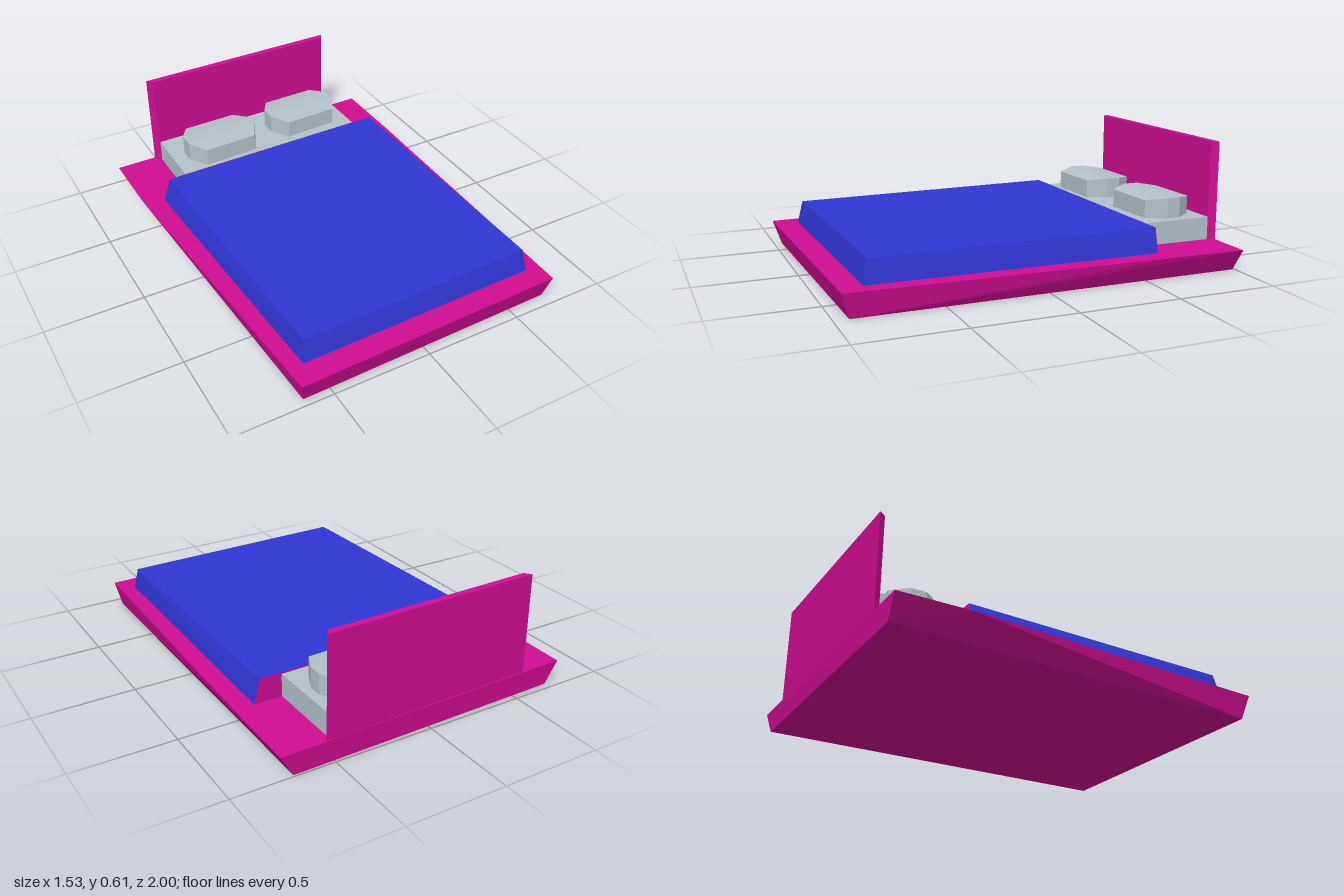
import * as THREE from 'three';
import { ConvexGeometry } from 'three/addons/geometries/ConvexGeometry.js';

const material = (color) => new THREE.MeshStandardMaterial({ color, flatShading: true, side: THREE.DoubleSide });
const pink = material(0xd00d92);
const blue = material(0x3036d4);
const pale = material(0xb4c3c9);

// Lists of [x, z] corners lifted to a height
const ring = (y, corners) => corners.map(([x, z]) => new THREE.Vector3(x, y, z));

// Faceted solid spanning its corner points
function solid(name, mat, ...rings) {
  const mesh = new THREE.Mesh(new ConvexGeometry(rings.flat()), mat);
  mesh.name = name;
  return mesh;
}

// Octagonal cushion whose top rises slightly along its middle
function pillow(name, x, y, z) {
  const outline = [
    [-0.15, -0.125], [0.14, -0.135], [0.205, -0.05], [0.205, 0.02],
    [0.155, 0.12], [-0.135, 0.135], [-0.2, 0.04], [-0.2, -0.04],
  ];
  const top = outline.map(([px, pz]) => new THREE.Vector3(px, Math.abs(pz) < 0.06 ? 0.103 : 0.092, pz));
  const mesh = solid(name, pale, ring(0, outline), top);
  mesh.position.set(x, y, z);
  return mesh;
}

export function createModel() {
  const bed = new THREE.Group();
  bed.name = 'bed';

  // Skewed platform, flaring out towards the top
  bed.add(solid('base', pink,
    ring(0, [[-0.705, -0.965], [0.7, -0.99], [0.705, 0.93], [-0.635, 0.96]]),
    ring(0.112, [[-0.77, -0.97], [0.765, -1]]),
    ring(0.115, [[-0.768, -0.6], [0.763, -0.6]]),
    ring(0.122, [[0.73, 0.965], [-0.66, 1]])));

  // Headboard, narrower at its front face
  const board = [[-0.555, -0.967], [0.542, -0.992], [0.52, -0.958], [-0.53, -0.935]];
  bed.add(solid('headboard', pink, ring(0.1, board), ring(0.61, board)));

  const mattress = [[-0.525, -0.935], [0.52, -0.958], [0.525, -0.5], [-0.525, -0.5]];
  bed.add(solid('mattress', pale, ring(0.1, mattress), ring(0.228, mattress)));

  // Blanket with sloping sides
  bed.add(solid('blanket', blue,
    ring(0.113, [[-0.66, -0.555], [0.665, -0.583], [0.655, 0.855], [-0.59, 0.88]]),
    ring(0.236, [[-0.62, -0.556], [0.635, -0.582], [0.638, 0.828], [-0.573, 0.853]])));

  // Thin facing on the head end of the blanket
  bed.add(solid('blanketEnd', pink,
    ring(0.113, [[-0.66, -0.558], [0.665, -0.586], [0.665, -0.584], [-0.66, -0.556]]),
    ring(0.235, [[-0.62, -0.559], [0.635, -0.585], [0.635, -0.583], [-0.62, -0.557]])));

  bed.add(pillow('rightPillow', -0.25, 0.235, -0.72));
  bed.add(pillow('leftPillow', 0.27, 0.227, -0.77));
  return bed;
}
